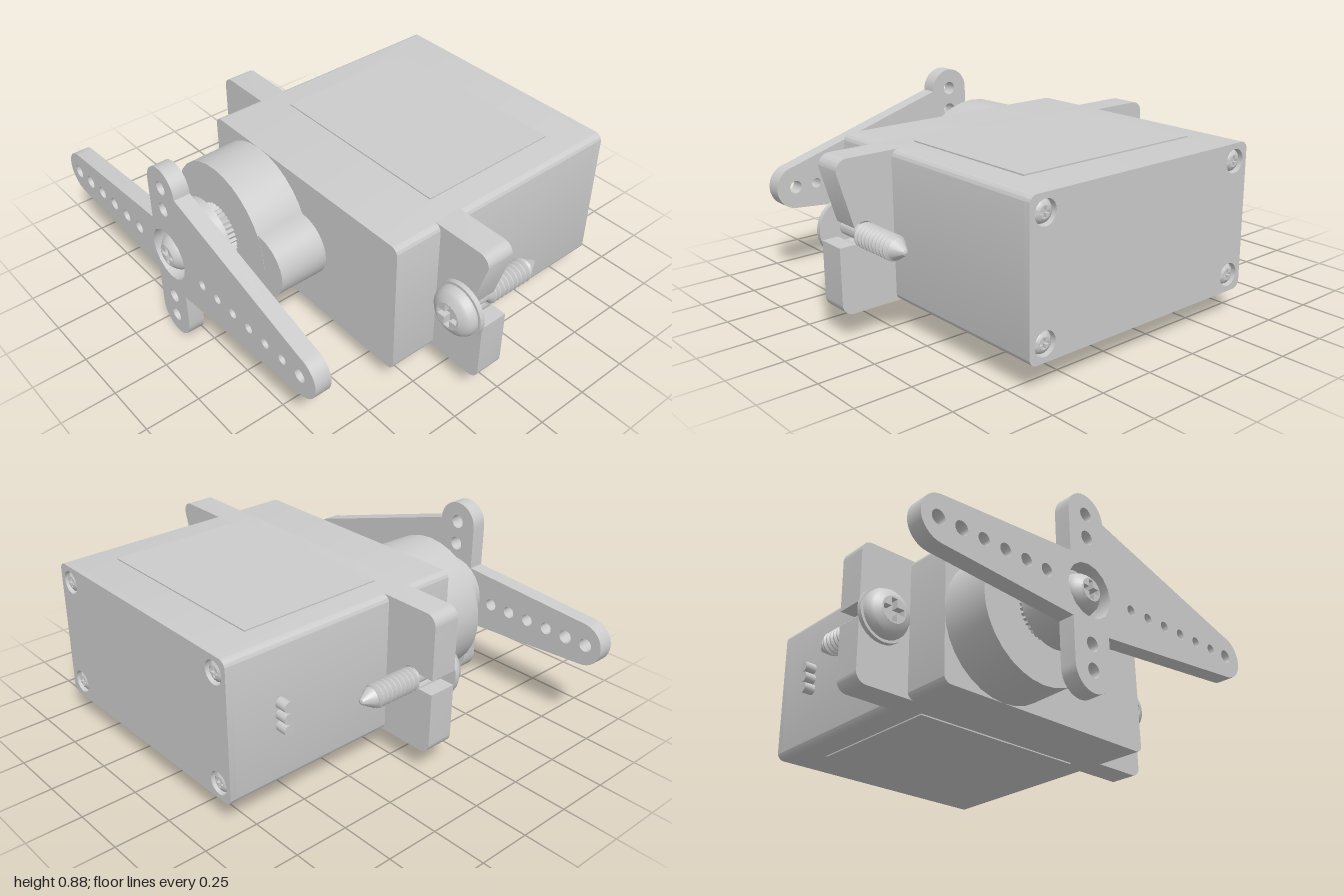
import * as THREE from 'three';
import { toCreasedNormals } from 'three/addons/utils/BufferGeometryUtils.js';

const mat = new THREE.MeshStandardMaterial({ color: 0xcccccc, side: THREE.DoubleSide });
const CY = 0.45;      // height of the main axis
const AX = -0.147;    // x of the output shaft

function add(parent, name, geo, x = 0, y = 0, z = 0, crease = 0.6) {
  const mesh = new THREE.Mesh(toCreasedNormals(geo, crease), mat);
  mesh.name = name;
  mesh.position.set(x, y, z);
  parent.add(mesh);
  return mesh;
}

// Solid of revolution around z; points are [radius, z]
function lathe(points, seg = 28) {
  const g = new THREE.LatheGeometry(points.map(([r, z]) => new THREE.Vector2(r, z)), seg);
  return g.rotateX(Math.PI / 2);
}

function extrude(shape, depth, curveSegments = 8) {
  return new THREE.ExtrudeGeometry(shape, { depth, bevelEnabled: false, curveSegments });
}

function circleHole(shape, x, y, r) {
  shape.holes.push(new THREE.Path().absarc(x, y, r, 0, Math.PI * 2, true));
}

function roundRect(x0, x1, y0, y1, r) {
  const s = new THREE.Shape();
  s.absarc(x1 - r, y1 - r, r, 0, Math.PI / 2);
  s.absarc(x0 + r, y1 - r, r, Math.PI / 2, Math.PI);
  s.absarc(x0 + r, y0 + r, r, Math.PI, Math.PI * 1.5);
  s.absarc(x1 - r, y0 + r, r, Math.PI * 1.5, Math.PI * 2);
  s.closePath();
  return s;
}

// Domed cross-recess screw head facing +z, base at z = 0
function screwHead(name, R, h) {
  const head = new THREE.Group();
  head.name = name;
  const inner = R * 0.55, pts = [[0, 0], [R, 0], [R, h * 0.25]];
  for (let i = 1; i <= 5; i++) {
    const r = R + (inner - R) * i / 5;
    pts.push([r, h * (0.25 + 0.75 * Math.sqrt((R - r) / (R - inner)))]);
  }
  pts.push([inner, h * 0.45], [0, h * 0.45]);
  add(head, 'dome', lathe(pts));
  const plug = new THREE.Shape().absarc(0, 0, inner, 0, Math.PI * 2);
  const a = inner * 0.85, b = inner * 0.24;
  plug.holes.push(new THREE.Path([[a, -b], [b, -b], [b, -a], [-b, -a], [-b, -b], [-a, -b],
    [-a, b], [-b, b], [-b, a], [b, a], [b, b], [a, b]].map(([x, y]) => new THREE.Vector2(x, y))));
  add(head, 'crossRecess', extrude(plug, h * 0.57, 14), 0, 0, h * 0.44);
  return head;
}

// Mounting screw: washer, domed head, plain shank, thread and point
function mountingScrew(x) {
  const g = new THREE.Group();
  g.name = 'mountingScrew';
  add(g, 'washer', lathe([[0, 0], [0.125, 0], [0.125, 0.022], [0, 0.022]]));
  const head = screwHead('screwHead', 0.112, 0.062);
  head.position.z = 0.02;
  g.add(head);
  const pts = [[0, -0.425], [0.012, -0.42], [0.045, -0.365]];
  for (let i = 0; i < 9; i++) {
    const z = -0.355 + i * 0.025;
    pts.push([0.038, z], [0.054, z + 0.009], [0.054, z + 0.014], [0.038, z + 0.023]);
  }
  pts.push([0.032, -0.125], [0.032, 0.005]);
  add(g, 'threadedShaft', lathe(pts, 20), 0, 0, 0, 0.4);
  g.position.set(x, CY, 0.122);
  return g;
}

function flangeShape() {
  const x0 = -0.73, x1 = 0.985, y0 = 0.125, y1 = 0.775, r = 0.05, s = 0.034, k = 0.055;
  const a = Math.asin(s / k), P = Math.PI, c = Math.sqrt(k * k - s * s);
  const f = new THREE.Shape();
  f.moveTo(x1, CY + s);
  f.absarc(x1 - r, y1 - r, r, 0, P / 2);
  f.absarc(x0 + r, y1 - r, r, P / 2, P);
  f.lineTo(x0, CY + s);
  f.lineTo(-0.615 - c, CY + s);
  f.absarc(-0.615, CY, k, P - a, -P + a, true);
  f.lineTo(x0, CY - s);
  f.absarc(x0 + r, y0 + r, r, P, P * 1.5);
  f.absarc(x1 - r, y0 + r, r, P * 1.5, P * 2);
  f.lineTo(x1, CY - s);
  f.lineTo(0.87 + c, CY - s);
  f.absarc(0.87, CY, k, -a, a, true);
  f.closePath();
  return f;
}

// Four-armed horn, drawn around the shaft axis
function hornShape() {
  const P = Math.PI, w = 0.1, s = new THREE.Shape();
  s.moveTo(w, 0.175);
  s.absarc(0, 0.345, w, 0, P);
  s.lineTo(-w, 0.143);
  s.absarc(-0.753, 0, 0.1, P / 2 + 0.05, P * 1.5 - 0.05);
  s.lineTo(-w, -0.143);
  s.absarc(0, -0.34, w, P, P * 2);
  s.lineTo(w, -0.175);
  s.absarc(0.887, 0, 0.1, -P / 2 + 0.1, P / 2 - 0.1);
  s.closePath();
  circleHole(s, 0, 0, 0.12);
  for (let i = 0; i < 6; i++) circleHole(s, -0.773 + i * 0.107, 0, i < 2 ? 0.031 : 0.028);
  for (let i = 0; i < 7; i++) circleHole(s, 0.25 + i * 0.107, 0, i < 6 ? 0.023 : 0.03);
  for (const y of [0.35, 0.24, -0.235, -0.345]) circleHole(s, 0, y, 0.032);
  return s;
}

export function createModel() {
  const model = new THREE.Group();
  model.name = 'servoMotor';

  // Case, with a back lid that holds four recessed screws
  const rect = () => roundRect(-0.47, 0.727, 0.125, 0.775, 0.035);
  add(model, 'case', extrude(rect(), 1.17), 0, 0, -0.82);
  const lid = rect();
  for (const x of [-0.395, 0.652]) for (const y of [0.2, 0.7]) {
    circleHole(lid, x, y, 0.052);
    const head = screwHead('lidScrew', 0.047, 0.026);
    head.rotation.y = Math.PI;
    head.position.set(x, y, -0.82);
    model.add(head);
  }
  add(model, 'backLid', extrude(lid, 0.03, 10), 0, 0, -0.85);

  // Thin label panels on top and underside
  for (const y of [0.777, 0.123])
    add(model, 'labelPanel', new THREE.BoxGeometry(0.91, 0.008, 0.69), 0.125, y, -0.305);

  // Mounting flange with open screw slots
  add(model, 'mountingFlange', extrude(flangeShape(), 0.132), 0, 0, -0.01);
  model.add(mountingScrew(0.87), mountingScrew(-0.615));

  // Gear housing: large round boss with a small lobe beside it
  add(model, 'gearBoss', lathe([[0, 0], [0.325, 0], [0.32, 0.23], [0, 0.23]], 32), AX, CY, 0.35);
  const lobe = new THREE.Shape();
  lobe.moveTo(-0.1, -0.19);
  lobe.quadraticCurveTo(0.08, -0.145, 0.152, -0.145);
  lobe.absarc(0.152, 0, 0.145, -Math.PI / 2, Math.PI / 2);
  lobe.quadraticCurveTo(0.08, 0.145, -0.1, 0.19);
  lobe.closePath();
  add(model, 'gearLobe', extrude(lobe, 0.229), 0, CY, 0.35);

  // Splined output shaft
  const spline = new THREE.Shape();
  for (let i = 0; i < 72; i++) {
    const r = i % 2 ? 0.12 : 0.13, t = i / 72 * Math.PI * 2;
    spline[i ? 'lineTo' : 'moveTo'](r * Math.cos(t), r * Math.sin(t));
  }
  spline.closePath();
  add(model, 'splinedShaft', extrude(spline, 0.08), AX, CY, 0.57);

  // Horn with hub, and its retaining screw in the recess
  add(model, 'hornHub', lathe([[0, 0.64], [0.183, 0.64], [0.17, 0.768], [0, 0.768]]), AX, CY, 0);
  add(model, 'horn', extrude(hornShape(), 0.075), AX, CY, 0.765);
  const hornScrew = screwHead('hornScrew', 0.09, 0.082);
  hornScrew.position.set(AX, CY, 0.767);
  model.add(hornScrew);

  // Three cable stubs
  for (let i = -1; i <= 1; i++)
    add(model, 'cableStub', new THREE.CylinderGeometry(0.025, 0.025, 0.07, 12).rotateZ(Math.PI / 2),
      -0.49, CY + i * 0.052, -0.593);

  return model;
}
